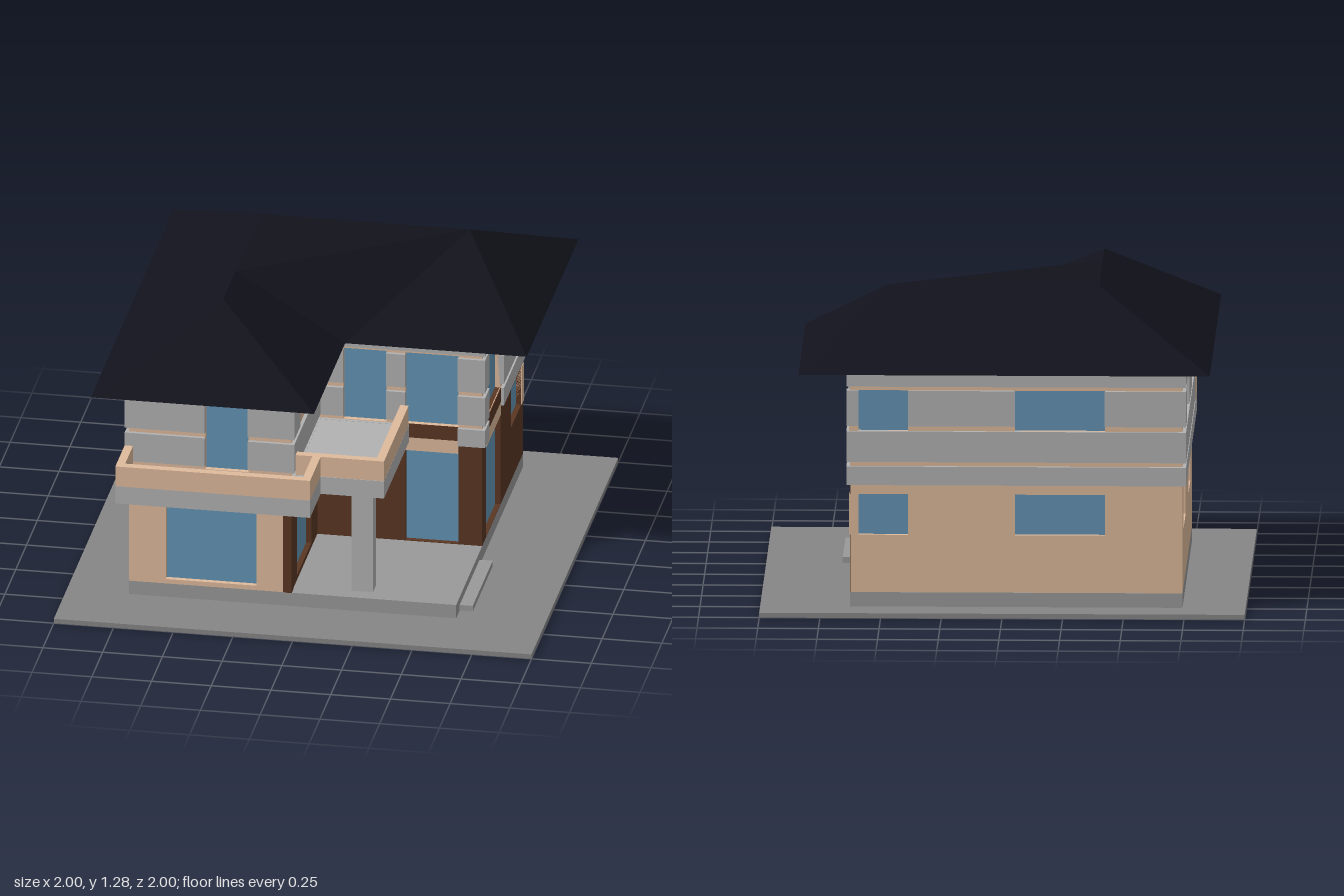
import * as THREE from 'three';

const mat = (color) => new THREE.MeshStandardMaterial({ color });
const M = {
  ground: mat(0x868686), plinth: mat(0x999999), band: mat(0xb2b2b2), cream: mat(0xdeba9b),
  brown: mat(0x5a3623), glass: mat(0x6494b4), roof: mat(0x12121c),
};

// Box given by its limits on each axis
function box(parent, name, m, x0, x1, y0, y1, z0, z1) {
  const mesh = new THREE.Mesh(new THREE.BoxGeometry(x1 - x0, y1 - y0, z1 - z0), m);
  mesh.position.set((x0 + x1) / 2, (y0 + y1) / 2, (z0 + z1) / 2);
  mesh.name = name;
  parent.add(mesh);
}

// Upright panel with rectangular openings, outer face at local z = 0
function panel(parent, name, m, u0, u1, y0, y1, holes) {
  const rect = (P, a, b, c, d) => {
    const p = new P();
    p.moveTo(a, c); p.lineTo(b, c); p.lineTo(b, d); p.lineTo(a, d); p.closePath();
    return p;
  };
  const shape = rect(THREE.Shape, u0, u1, y0, y1);
  for (const [a, b, c, d] of holes) shape.holes.push(rect(THREE.Path, a, b, c, d));
  const geo = new THREE.ExtrudeGeometry(shape, { depth: 0.035, bevelEnabled: false });
  geo.translate(0, 0, -0.035);
  const mesh = new THREE.Mesh(geo, m);
  mesh.name = name;
  parent.add(mesh);
}

const BANDS = [[0.53, 0.608], [0.627, 0.755], [0.777, 0.925], [0.942, 1.008]];

// One side of the house: ground wall, upper wall, cladding bands and glazing
function facade(house, { name, pos, turn, u0, u1, lower, low = [], high = [], tall = [] }) {
  const side = new THREE.Group();
  side.name = name;
  side.position.set(...pos);
  side.rotation.y = turn;
  house.add(side);

  const lowHoles = [...low, ...tall.map(([a, b]) => [a, b, 0.083, 0.49])];
  const highHoles = [...high, ...tall.map(([a, b]) => [a, b, 0.61, 0.93])];
  panel(side, 'groundWall', lower, u0, u1, 0.08, 0.53, lowHoles);
  panel(side, 'upperWall', M.cream, u0, u1, 0.53, 1.01, highHoles);
  for (const [a, b, c, d] of [...lowHoles, ...highHoles])
    box(side, 'windowGlass', M.glass, a, b, c, d, -0.032, -0.022);

  // Spandrels between stacked tall windows
  for (const [a, b] of tall) {
    box(side, 'creamSpandrel', M.cream, a, b, 0.49, 0.548, -0.03, 0.003);
    box(side, 'brownSpandrel', M.brown, a, b, 0.548, 0.61, -0.03, 0.003);
  }

  // Cladding bands, interrupted by the openings
  const cuts = [...high, ...tall.map(([a, b]) => [a, b, 0.53, 0.93])].sort((p, q) => p[0] - q[0]);
  for (const [c, d] of BANDS) {
    let start = u0 - 0.015;
    for (const [a, b, lo, hi] of cuts) {
      if (lo > d - 0.03 || hi < c + 0.03) continue;
      if (a > start) box(side, 'claddingBand', M.band, start, a, c, d, -0.015, 0.015);
      start = b;
    }
    if (start < u1) box(side, 'claddingBand', M.band, start, u1 + 0.015, c, d, -0.015, 0.015);
  }
}

// Hipped L-shaped roof with a flat area in the inner corner
function roof() {
  const e = 1.01, t = 1.285;
  const p = [
    [-0.855, e, 0.95], [0.08, e, 0.95], [0.08, e, 0.23], [0.84, e, 0.23], [0.84, e, -0.965], [-0.855, e, -0.965],
    [0.49, t, -0.385], [-0.385, t, -0.385], [-0.385, t, 0.48], [-0.385, t, 0.2],
  ];
  const faces = [
    [0, 1, 8], [1, 2, 9], [1, 9, 8], [2, 6, 9], [2, 3, 6], [3, 4, 6],
    [4, 5, 7], [4, 7, 6], [5, 0, 8], [5, 8, 7], [6, 7, 9],
    [0, 2, 1], [0, 5, 2], [2, 5, 4], [2, 4, 3],
  ];
  const geo = new THREE.BufferGeometry();
  geo.setAttribute('position', new THREE.Float32BufferAttribute(faces.flat().flatMap((i) => p[i]), 3));
  geo.computeVertexNormals();
  const mesh = new THREE.Mesh(geo, M.roof);
  mesh.name = 'roof';
  return mesh;
}

export function createModel() {
  const house = new THREE.Group();
  house.name = 'house';

  // Ground slab, plinth and entrance step
  box(house, 'groundSlab', M.ground, -1, 1, 0, 0.02, -1, 1);
  box(house, 'plinth', M.plinth, -0.74, 0.63, 0.02, 0.08, -0.842, 0.7);
  box(house, 'entranceStep', M.plinth, 0.63, 0.685, 0.02, 0.045, 0.16, 0.62);

  // Walls; u runs to the right as seen from outside
  const H = Math.PI / 2;
  facade(house, {
    name: 'frontWingWall', pos: [0, 0, 0.7], turn: 0, u0: -0.74, u1: -0.06, lower: M.cream,
    low: [[-0.585, -0.205, 0.1, 0.43]], high: [[-0.42, -0.24, 0.61, 0.93]],
  });
  box(house, 'brownCornerStrip', M.brown, -0.085, -0.058, 0.08, 0.53, 0.66, 0.703);
  facade(house, {
    name: 'wingSideWall', pos: [-0.06, 0, 0], turn: H, u0: -0.7, u1: -0.1, lower: M.brown,
    low: [[-0.565, -0.235, 0.1, 0.475]], high: [[-0.57, -0.22, 0.8, 0.925]],
  });
  facade(house, {
    name: 'entranceWall', pos: [0, 0, 0.1], turn: 0, u0: -0.06, u1: 0.628, lower: M.brown,
    high: [[0.05, 0.23, 0.61, 0.93]], tall: [[0.31, 0.53]],
  });
  facade(house, {
    name: 'rightWall', pos: [0.63, 0, 0], turn: H, u0: -0.1, u1: 0.838, lower: M.brown,
    low: [[0.56, 0.8, 0.32, 0.49]], high: [[0.56, 0.8, 0.755, 0.925]], tall: [[-0.01, 0.32]],
  });
  facade(house, {
    name: 'backWall', pos: [0, 0, -0.84], turn: 2 * H, u0: -0.628, u1: 0.74, lower: M.cream,
    low: [[-0.595, -0.39, 0.32, 0.49], [0.05, 0.42, 0.32, 0.49]],
    high: [[-0.595, -0.39, 0.755, 0.925], [0.05, 0.42, 0.755, 0.925]],
  });
  facade(house, {
    name: 'leftWall', pos: [-0.74, 0, 0], turn: -H, u0: -0.838, u1: 0.7, lower: M.cream,
    low: [[-0.66, -0.31, 0.32, 0.49], [0.13, 0.45, 0.32, 0.49]],
    high: [[-0.66, -0.31, 0.755, 0.925], [0.13, 0.45, 0.755, 0.925]],
  });

  // Cream posts at the back corner windows
  for (const [y0, y1] of [[0.32, 0.49], [0.755, 0.925]])
    box(house, 'cornerPost', M.cream, 0.595, 0.633, y0, y1, -0.843, -0.8);

  // Balconies: slabs and parapets
  box(house, 'frontBalconySlab', M.band, -0.755, 0.06, 0.53, 0.608, 0.69, 0.93);
  box(house, 'sideBalconySlab', M.band, -0.06, 0.325, 0.53, 0.607, 0.1, 0.685);
  const w = 0.035, y0 = 0.608, y1 = 0.697;
  box(house, 'frontParapet', M.cream, -0.755, 0.06, y0, y1, 0.93 - w, 0.93);
  box(house, 'leftParapet', M.cream, -0.755, -0.755 + w, y0, y1, 0.715, 0.93 - w);
  box(house, 'rightParapet', M.cream, 0.06 - w, 0.06, y0, y1, 0.685, 0.93 - w);
  box(house, 'sideBalconyFrontParapet', M.cream, -0.045, 0.325, y0, y1, 0.685 - w, 0.685);
  box(house, 'sideBalconyRightParapet', M.cream, 0.325 - w, 0.325, y0, y1, 0.115, 0.685 - w);

  // Porch pillar
  box(house, 'porchPillar', M.band, 0.18, 0.27, 0.08, 0.53, 0.565, 0.635);

  house.add(roof());
  return house;
}
